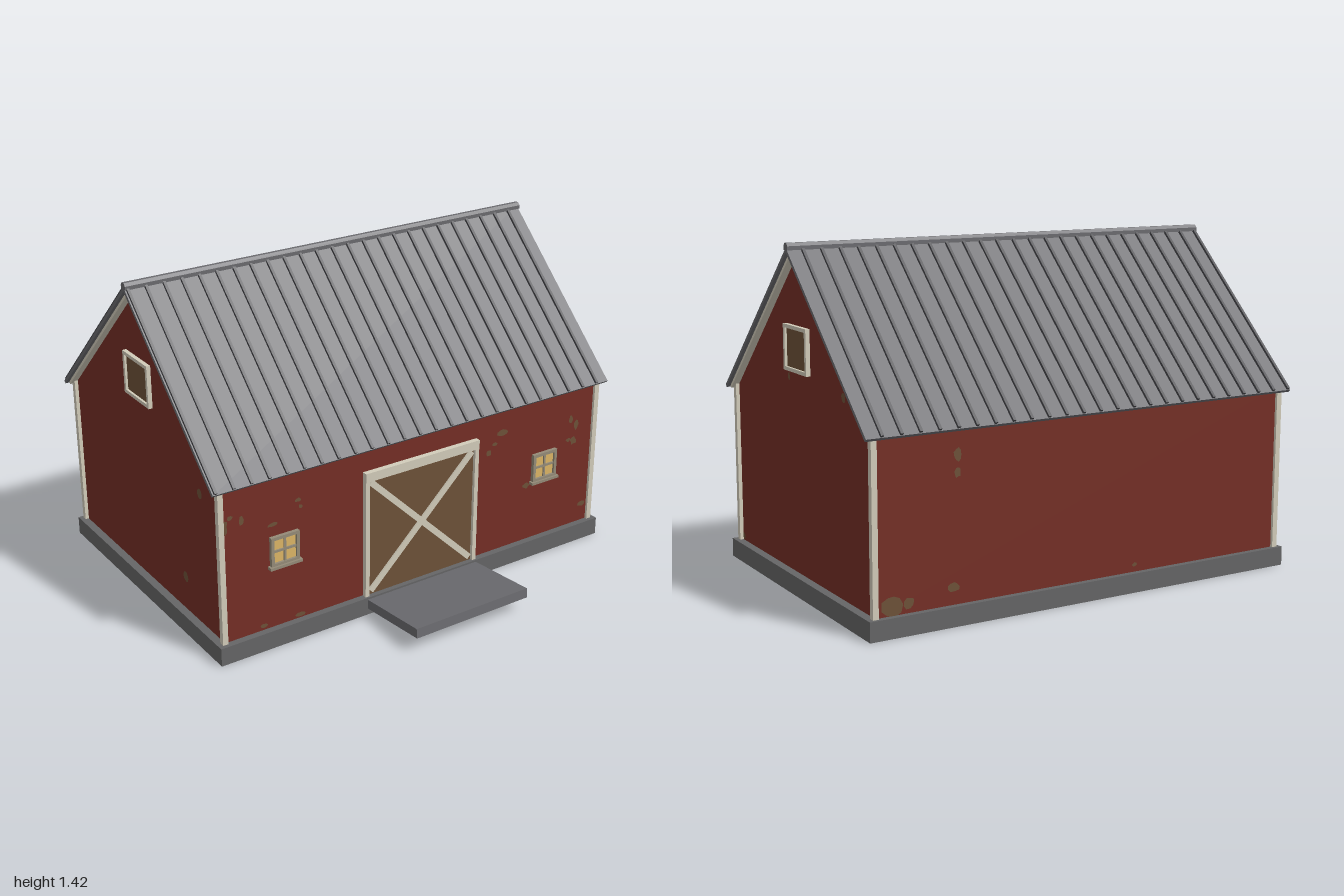
import * as THREE from 'three';

const paint = (name, color) => {
  const m = new THREE.MeshStandardMaterial({ color });
  m.name = name;
  return m;
};

export function createModel() {
  const red = paint('barn red', 0x742e25);
  const trim = paint('cream trim', 0xd2ccba);
  const metal = paint('roof metal', 0x6a6a6e);
  const seamGrey = paint('dark seam', 0x48484c);
  const stone = paint('foundation grey', 0x656566);
  const wood = paint('bare wood', 0x6d5138);
  const glass = paint('warm glass', 0xdcb566);
  const sash = paint('weathered sash', 0x948b78);

  const MID = -0.17;                 // ridge position along z
  const WALL_X = 0.95, HALF_Z = 0.64;
  const SLOPE = Math.atan(0.945);
  const barn = new THREE.Group();
  barn.name = 'barn';

  const add = (parent, name, geo, mat, x = 0, y = 0, z = 0) => {
    const m = new THREE.Mesh(geo, mat);
    m.name = name;
    m.position.set(x, y, z);
    parent.add(m);
    return m;
  };
  const box = (parent, name, mat, w, h, d, x, y, z) =>
    add(parent, name, new THREE.BoxGeometry(w, h, d), mat, x, y, z);
  const polygon = pts => new THREE.Shape(pts.map(p => new THREE.Vector2(p[0], p[1])));

  // Extrude a gable cross-section along x, centred on the ridge
  const alongX = (shape, x0, x1) => new THREE.ExtrudeGeometry(shape, { depth: x1 - x0, bevelEnabled: false })
    .rotateY(Math.PI / 2).translate(x0, 0, MID);

  // Folded roof layer: apex height, thickness square to the slope, horizontal run
  const chevron = (apex, t, run) => {
    const s = Math.sin(SLOPE), c = Math.cos(SLOPE), drop = run * Math.tan(SLOPE);
    return polygon([
      [0, apex], [-run, apex - drop], [-run + t * s, apex - drop - t * c],
      [0, apex - t / c], [run - t * s, apex - drop - t * c], [run, apex - drop]
    ]);
  };
  // Rectangular frame with an opening
  const frameGeo = (w, h, t, depth) => {
    const rect = (a, b) => [[-a, -b], [a, -b], [a, b], [-a, b]];
    const shape = polygon(rect(w / 2, h / 2));
    shape.holes.push(polygon(rect(w / 2 - t, h / 2 - t).reverse()));
    return new THREE.ExtrudeGeometry(shape, { depth, bevelEnabled: false });
  };

  // Foundation and walls
  box(barn, 'foundation', stone, 1.97, 0.08, 1.335, 0, 0.04, MID + 0.0025);
  const wallTop = 1.379 - HALF_Z * 0.945;
  add(barn, 'walls', alongX(polygon([
    [-HALF_Z, 0.08], [HALF_Z, 0.08], [HALF_Z, wallTop], [0, 1.379], [-HALF_Z, wallTop]
  ]), -WALL_X, WALL_X), red);

  // Corner boards
  for (const sx of [-1, 1]) for (const sz of [-1, 1])
    box(barn, 'cornerBoard', trim, 0.024, 0.69, 0.024, sx * 0.954, 0.425, MID + sz * 0.64);

  // Roof: cream underlay, metal sheet, standing seams, ridge cap
  add(barn, 'roofTrim', alongX(chevron(1.379, 0.012, 0.655), -0.98, 0.98), trim);
  add(barn, 'roofSheet', alongX(chevron(1.398, 0.014, 0.672), -0.995, 0.995), metal);
  const seamGeo = alongX(chevron(1.412, 0.0102, 0.677), -0.006, 0.006);
  for (let i = 0; i < 25; i++) add(barn, 'roofSeam', seamGeo, seamGrey, -0.983 + i * 0.0797);
  add(barn, 'ridgeCap', alongX(polygon([
    [-0.018, 1.388], [0.018, 1.388], [0.018, 1.404], [0.008, 1.416], [-0.008, 1.416], [-0.018, 1.404]
  ]), -0.996, 0.996), metal);

  // Each wall group has its outside facing local +z
  const wallGroup = (name, x, z, turn) => {
    const g = new THREE.Group();
    g.name = name;
    g.position.set(x, 0, z);
    g.rotation.y = turn;
    barn.add(g);
    return g;
  };
  const front = wallGroup('frontWall', 0, MID + HALF_Z, 0);
  const back = wallGroup('backWall', 0, MID - HALF_Z, Math.PI);
  const leftEnd = wallGroup('leftEnd', WALL_X, MID, Math.PI / 2);
  const rightEnd = wallGroup('rightEnd', -WALL_X, MID, -Math.PI / 2);

  // Barn door with crossed braces
  box(front, 'door', wood, 0.55, 0.55, 0.008, 0, 0.355, 0.004);
  for (const s of [-1, 1]) {
    box(front, 'doorPost', trim, 0.02, 0.575, 0.022, s * 0.28, 0.3675, 0.011);
    box(front, 'doorBrace', trim, 0.725, 0.027, 0.012, 0, 0.352, 0.010 + s * 0.0005)
      .rotation.z = s * Math.atan2(0.505, 0.515);
  }
  box(front, 'doorHeader', trim, 0.58, 0.04, 0.024, 0, 0.635, 0.012);

  // Front windows with four panes and a sill
  for (const s of [-1, 1]) {
    const w = new THREE.Group();
    w.name = 'frontWindow';
    w.position.set(s * 0.67, 0.427, 0);
    front.add(w);
    box(w, 'pane', glass, 0.12, 0.12, 0.006, 0, 0, 0.003);
    add(w, 'sash', frameGeo(0.132, 0.132, 0.014, 0.016), sash);
    box(w, 'mullion', sash, 0.01, 0.11, 0.012, 0, 0, 0.006);
    box(w, 'crossbar', sash, 0.11, 0.01, 0.012, 0, 0, 0.006);
    box(w, 'sill', sash, 0.15, 0.012, 0.024, 0, -0.069, 0.012);
  }

  // Loft hatch on both gable ends
  for (const end of [leftEnd, rightEnd]) {
    box(end, 'loftHatch', wood, 0.2, 0.17, 0.008, 0, 0.998, 0.004);
    add(end, 'loftFrame', frameGeo(0.215, 0.185, 0.015, 0.018), trim, 0, 0.998, 0);
  }

  // Ramp tilted up away from the door
  const ramp = box(barn, 'ramp', metal, 0.57, 0.042, 0.39, 0, 0.067, 0.655);
  ramp.rotation.x = -0.106;

  // Worn paint patches: [x, y, width, height] on each wall
  let seed = 7;
  const rand = () => (seed = (seed * 16807) % 2147483647) / 2147483647;
  const wear = (wall, spots) => {
    for (const [x, y, w, h] of spots) {
      const pts = [];
      for (let i = 0; i < 9; i++) {
        const a = i / 9 * Math.PI * 2, r = 0.35 + rand() * 0.2;
        pts.push([Math.cos(a) * w * r, Math.sin(a) * h * r]);
      }
      add(wall, 'wornPaint', new THREE.ShapeGeometry(polygon(pts)), wood, x, y, 0.002);
    }
  };
  wear(front, [
    [-0.935, 0.595, 0.03, 0.07], [-0.91, 0.63, 0.03, 0.02], [-0.86, 0.605, 0.025, 0.04],
    [-0.72, 0.545, 0.05, 0.02], [-0.6, 0.62, 0.03, 0.02], [-0.59, 0.59, 0.02, 0.02],
    [0.43, 0.645, 0.07, 0.035], [0.36, 0.565, 0.03, 0.03], [0.39, 0.6, 0.03, 0.02],
    [0.575, 0.35, 0.05, 0.03], [0.82, 0.61, 0.025, 0.04], [0.85, 0.575, 0.03, 0.06],
    [0.81, 0.51, 0.03, 0.02], [0.84, 0.5, 0.04, 0.04], [0.91, 0.165, 0.05, 0.03],
    [0.13, 0.1, 0.04, 0.02], [-0.6, 0.095, 0.05, 0.02], [-0.77, 0.1, 0.04, 0.02]
  ]);
  wear(back, [
    [-0.88, 0.12, 0.09, 0.09], [-0.81, 0.12, 0.05, 0.05], [-0.62, 0.15, 0.06, 0.04],
    [-0.6, 0.66, 0.04, 0.06], [-0.6, 0.59, 0.03, 0.04], [0.22, 0.11, 0.03, 0.02]
  ]);
  wear(leftEnd, [
    [-0.095, 0.88, 0.02, 0.04], [0.4, 0.868, 0.04, 0.04], [0.47, 0.885, 0.03, 0.06],
    [0.44, 0.93, 0.03, 0.02], [-0.615, 0.1, 0.03, 0.03]
  ]);
  wear(rightEnd, [[0.48, 0.68, 0.04, 0.05], [0.33, 0.235, 0.04, 0.05]]);

  return barn;
}
